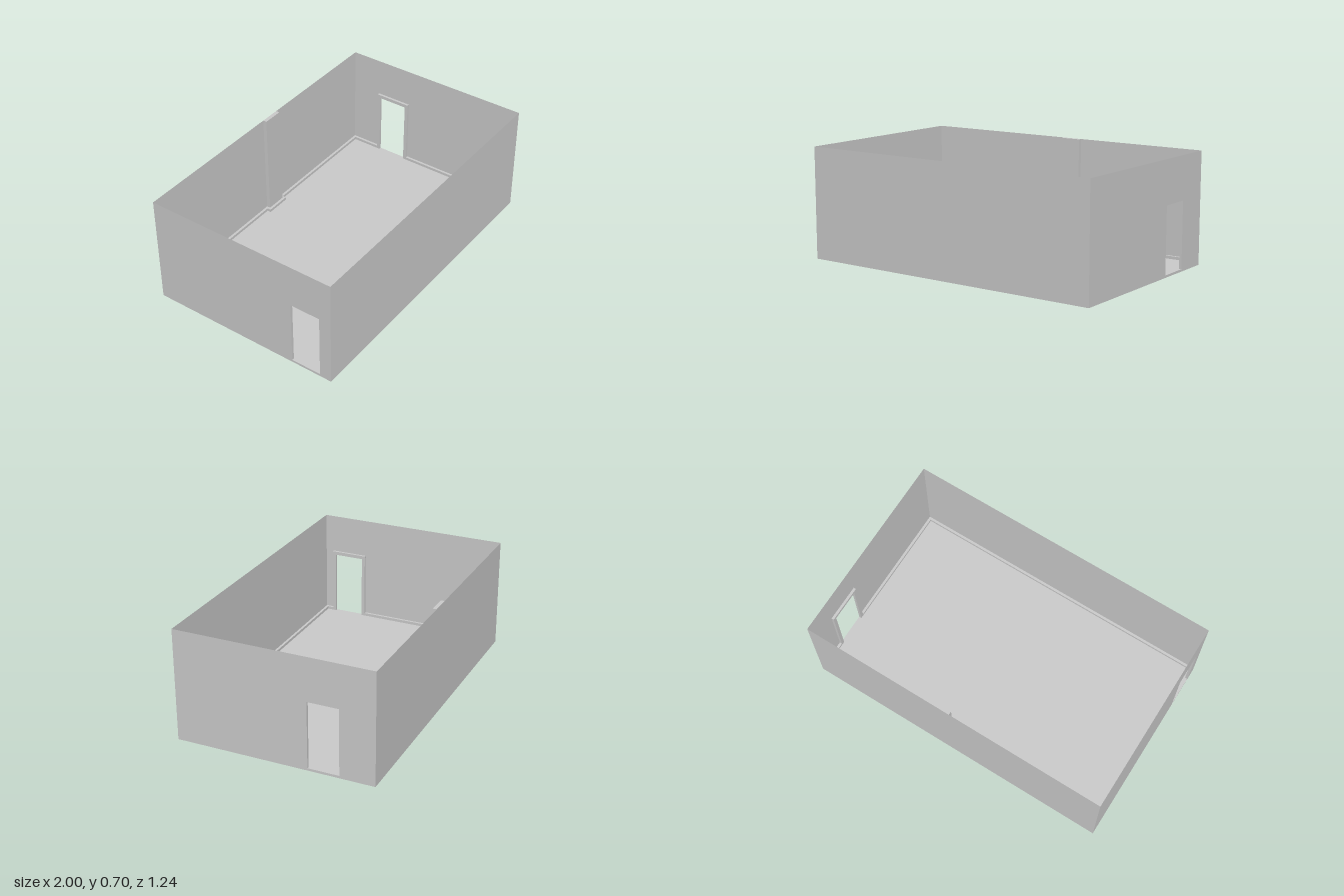
import * as THREE from 'three';

const W = 1, D = 0.622, H = 0.705;        // half width, half depth, height
const FLOOR = 0.015, SKIRT = 0.033, T = 0.016; // floor top, skirting top, trim thickness
const DOOR_H = 0.432, FRAME = 0.022;

export function createModel() {
  const room = new THREE.Group();
  room.name = 'room';
  const solid = new THREE.MeshStandardMaterial({ color: 0xcccccc });
  const sheet = new THREE.MeshStandardMaterial({ color: 0xcccccc, side: THREE.DoubleSide });

  // Box given by its two corners
  function box(name, x0, x1, y0, y1, z0, z1, parent = room) {
    const mesh = new THREE.Mesh(new THREE.BoxGeometry(x1 - x0, y1 - y0, z1 - z0), solid);
    mesh.position.set((x0 + x1) / 2, (y0 + y1) / 2, (z0 + z1) / 2);
    mesh.name = name;
    parent.add(mesh);
  }

  // Thin wall drawn from an outline
  function wall(name, points) {
    const shape = new THREE.Shape(points.map(([x, y]) => new THREE.Vector2(x, y)));
    const mesh = new THREE.Mesh(new THREE.ShapeGeometry(shape), sheet);
    mesh.name = name;
    room.add(mesh);
    return mesh;
  }

  box('floor', -W, W, 0, FLOOR, -D, D);

  // Long walls
  const long = [[-W, FLOOR], [W, FLOOR], [W, H], [-W, H]];
  wall('frontWall', long).position.z = D;
  wall('backWall', long).position.z = -D;

  // Short walls, each with a doorway, inner frame and skirting
  function sideWall(label, side, z0, z1) {
    const mesh = wall(label + 'Wall', [
      [-D, FLOOR], [z0, FLOOR], [z0, DOOR_H], [z1, DOOR_H],
      [z1, FLOOR], [D, FLOOR], [D, H], [-D, H],
    ]);
    mesh.rotation.y = -Math.PI / 2;       // outline x runs along z
    mesh.position.x = side * W;

    const trim = new THREE.Group();
    trim.name = label + 'DoorFrame';
    room.add(trim);
    const xa = side > 0 ? W - T : -W, xb = side > 0 ? W : -W + T;
    box('backJamb', xa, xb, FLOOR, DOOR_H + FRAME, z0 - FRAME, z0, trim);
    box('frontJamb', xa, xb, FLOOR, DOOR_H + FRAME, z1, z1 + FRAME, trim);
    box('lintel', xa, xb, DOOR_H, DOOR_H + FRAME, z0, z1, trim);
    box(label + 'SkirtingBack', xa, xb, FLOOR, SKIRT, -D, z0 - FRAME);
    box(label + 'SkirtingFront', xa, xb, FLOOR, SKIRT, z1 + FRAME, D);
  }
  sideWall('left', 1, -0.405, -0.21);
  sideWall('right', -1, 0.35, 0.545);

  // Shallow pillar on the back wall
  const px0 = 0.01, px1 = 0.14, pz = -0.598;
  box('pillar', px0, px1, FLOOR, H, -D, pz);

  // Skirting along the long walls and around the pillar
  box('frontSkirting', -W + T, W - T, FLOOR, SKIRT, D - T, D);
  box('backSkirtingRight', -W + T, px0 - T, FLOOR, SKIRT, -D, -D + T);
  box('backSkirtingLeft', px1 + T, W - T, FLOOR, SKIRT, -D, -D + T);
  box('pillarSkirtingFront', px0, px1, FLOOR, SKIRT, pz, pz + T);
  box('pillarSkirtingRight', px0 - T, px0, FLOOR, SKIRT, -D, pz + T);
  box('pillarSkirtingLeft', px1, px1 + T, FLOOR, SKIRT, -D, pz + T);

  return room;
}
